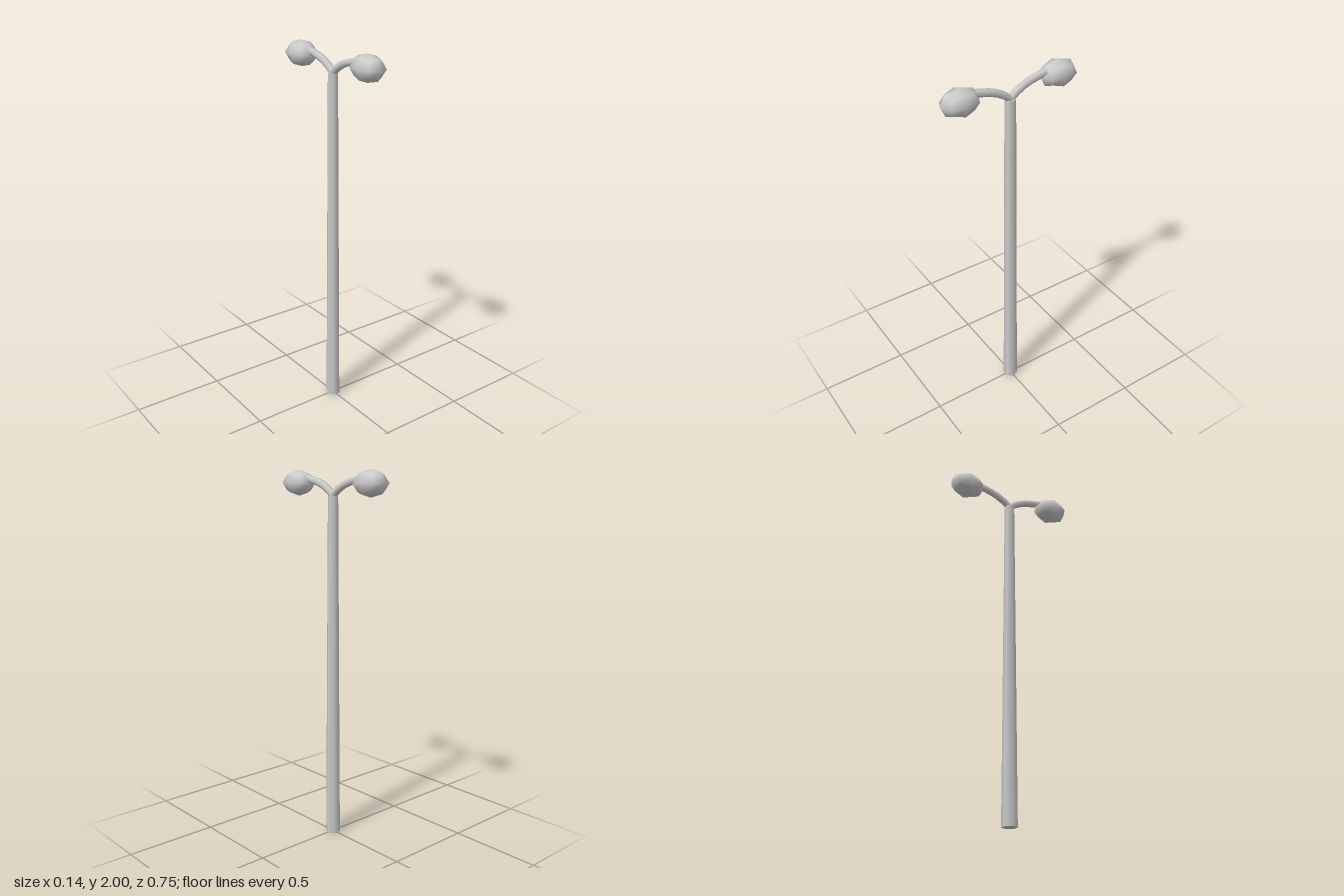
import * as THREE from 'three';
import { mergeVertices } from 'three/addons/utils/BufferGeometryUtils.js';

const material = new THREE.MeshStandardMaterial({ color: 0xcccccc });

function part(name, geometry) {
  const mesh = new THREE.Mesh(geometry, material);
  mesh.name = name;
  return mesh;
}

// Rounded low-poly globe: a 2x2x2 box whose edges and corners are pulled inwards
function lampGeometry(rx, ry, rz) {
  let g = new THREE.BoxGeometry(2, 2, 2, 2, 2, 2);
  g.deleteAttribute('normal');
  g.deleteAttribute('uv');
  g = mergeVertices(g);
  const p = g.attributes.position;
  const pull = [0, 1, 0.75, 0.556]; // face centre, edge middle, corner
  const v = new THREE.Vector3();
  for (let i = 0; i < p.count; i++) {
    v.fromBufferAttribute(p, i);
    const outer = v.toArray().filter((c) => Math.abs(c) > 0.5).length;
    v.multiplyScalar(pull[outer]);
    p.setXYZ(i, v.x * rx, v.y * ry, v.z * rz);
  }
  g.computeVertexNormals();
  return g;
}

// Six-sided curved arm, mitred on the plane z = 0 where both arms meet
function armGeometry() {
  const path = new THREE.CatmullRomCurve3([
    new THREE.Vector3(0, 1.87, 0),
    new THREE.Vector3(0, 1.907, 0.05),
    new THREE.Vector3(0, 1.933, 0.11),
    new THREE.Vector3(0, 1.956, 0.21),
  ]);
  const g = new THREE.TubeGeometry(path, 5, 0.02, 6, false);
  const t = path.getTangent(0);
  const p = g.attributes.position;
  for (let i = 0; i <= 6; i++) {
    p.setY(i, p.getY(i) - (p.getZ(i) * t.y) / t.z);
    p.setZ(i, 0);
  }
  return g;
}

export function createModel() {
  const model = new THREE.Group();
  model.name = 'streetLamp';

  // Tapered hexagonal pole
  const pole = new THREE.CylinderGeometry(0.028, 0.041, 1.868, 6);
  pole.rotateY(Math.PI / 2).translate(0, 0.934, 0);
  model.add(part('pole', pole));

  // Two opposite arms, each carrying a lamp
  const arm = armGeometry();
  const lamp = lampGeometry(0.071, 0.069, 0.101);
  ['front', 'back'].forEach((side, i) => {
    const branch = new THREE.Group();
    branch.name = side + 'Branch';
    const head = part(side + 'Lamp', lamp);
    head.position.set(0, 1.931, 0.276);
    branch.add(part(side + 'Arm', arm), head);
    branch.rotation.y = i * Math.PI;
    model.add(branch);
  });

  return model;
}
